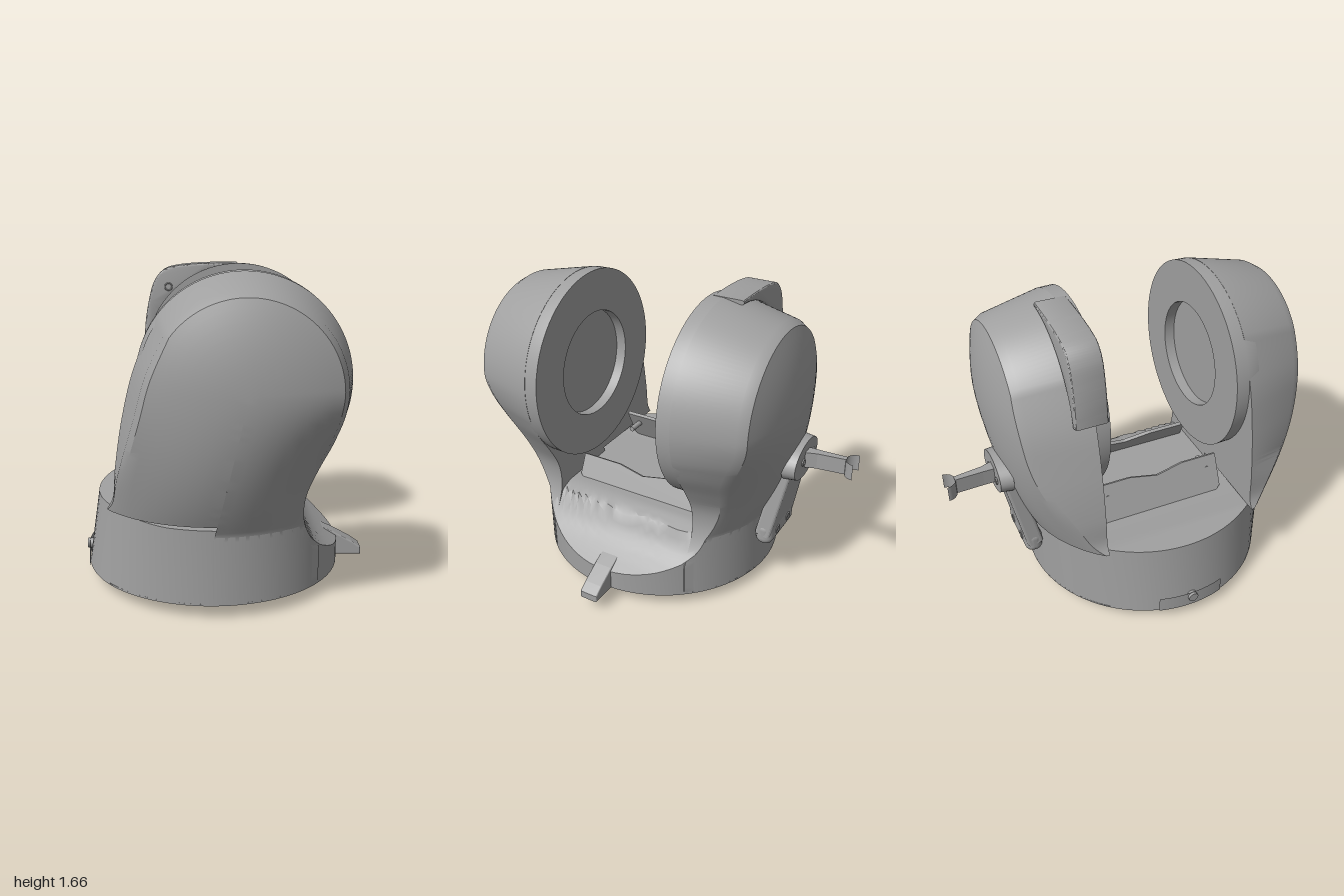
import * as THREE from 'three';
import { toCreasedNormals } from 'three/addons/utils/BufferGeometryUtils.js';
import { RoundedBoxGeometry } from 'three/addons/geometries/RoundedBoxGeometry.js';

const CX = -0.065, CZ = 0.135, R = 0.685;   // base centre and radius
const DX = 0.085, DY = 1.13, DR = 0.53;     // head disc centre and radius
const { lerp, clamp, smoothstep } = THREE.MathUtils;
const V = (x, y) => new THREE.Vector2(x, y);

export function createModel() {
  const model = new THREE.Group();
  const grey = new THREE.MeshStandardMaterial({ color: 0xa0a0a0, side: THREE.DoubleSide });
  grey.name = 'grey';

  const add = (name, geo, x = 0, y = 0, z = 0, parent = model) => {
    const m = new THREE.Mesh(geo, grey);
    m.name = name;
    m.position.set(x, y, z);
    parent.add(m);
    return m;
  };
  const extrude = (pts, depth, bevel = 0) => new THREE.ExtrudeGeometry(new THREE.Shape(pts), {
    depth, bevelEnabled: bevel > 0, bevelSize: bevel, bevelThickness: bevel, bevelOffset: -bevel, bevelSegments: 3,
  });

  // Foot disc
  add('foot', new THREE.CylinderGeometry(0.31, 0.31, 0.09, 64), CX, 0.045, CZ);

  // Round base: a lathe whose top follows a floor profile with a scoop on the right
  const floor = [[-0.8, 0.47], [-0.6, 0.485], [-0.3, 0.46], [0.3, 0.45], [0.38, 0.42], [0.42, 0.34], [0.48, 0.275], [0.55, 0.225], [0.63, 0.175]];
  const floorY = x => {
    const i = clamp(floor.findIndex(p => p[0] > x), 1, floor.length - 1);
    const [a, b] = [floor[i - 1], floor[i]];
    return lerp(a[1], b[1], clamp((x - a[0]) / (b[0] - a[0]), 0, 1));
  };
  const profile = [V(0, 0.07), V(R, 0.07), V(R, 1)];
  for (let r = 0.98; r > 0.01; r -= 0.04) profile.push(V(R * r, 1));
  profile.push(V(0, 1));
  const base = new THREE.LatheGeometry(profile, 96);
  const p = base.attributes.position;
  for (let i = 0; i < p.count; i++) {
    let x = p.getX(i);
    if (p.getY(i) > 0.5) {
      p.setY(i, floorY(x + CX));
      if (x < 0) x *= 1 - 0.09 * smoothstep(-x, 0.2, 0.6);
    }
    p.setX(i, x);
  }
  add('base', toCreasedNormals(base, 0.6), CX, 0, CZ);

  // Fork arms: outline in x/y, lofted outward in z over a domed outer surface
  const outline = new THREE.Shape();
  outline.moveTo(-0.6, 0.08);
  outline.lineTo(0.47, 0.08);
  outline.lineTo(0.47, 0.28);
  outline.splineThru([V(0.42, 0.345), V(0.385, 0.43), V(0.378, 0.52), V(0.4, 0.62), V(0.465, 0.74), V(0.54, 0.86), V(DX + DR * Math.cos(-0.3), DY + DR * Math.sin(-0.3))]);
  outline.absarc(DX, DY, DR, -0.3, 2.5, false);
  outline.splineThru([V(-0.45, 1.2), V(-0.515, 0.95), V(-0.555, 0.7), V(-0.568, 0.55), V(-0.6, 0.485)]);
  const ring = outline.getSpacedPoints(180);
  const outer = (x, y) => {
    const dy = y - DY;
    const mid = Math.max(R, 0.865 - (dy > 0 ? 0.4 : 0.36) * dy * dy);
    const round = mid * Math.sqrt(Math.max(0, 1 - ((x - CX) / R) ** 2));
    return Math.max(0.435, lerp(round, mid - 0.4 * (x - DX) ** 2, smoothstep(y, 0.45, 1.15)));
  };
  const armGeometry = side => {
    const pos = [], idx = [], n = ring.length;
    // [shrink towards the spine, edge drop, on the inner face]
    const rows = [[0, 0, 1], [1, 0, 1], [1, 0.035, 0], [0.94, 0, 0]];
    for (let f = 0.84; f >= 0; f -= 0.12) rows.push([f, 0, 0]);
    rows.forEach(([f, drop, inner]) => ring.forEach(({ x, y }) => {
      const t = smoothstep(y, 0.4, 1.1);
      const sx = lerp(-0.07, DX, clamp((y - 0.4) / 0.73, 0, 1)), sy = Math.min(y, DY);
      const k = inner ? f : f * (1 - 0.13 * t);
      const px = lerp(sx, x, k), py = lerp(sy, y, k);
      pos.push(px, py, side * (inner ? 0.43 : Math.max(0.435, outer(px, py) - drop * t)));
    }));
    for (let j = 0; j < rows.length - 1; j++) for (let i = 0; i < n - 1; i++) {
      const a = j * n + i, b = a + 1, c = b + n, d = a + n;
      if (side > 0) idx.push(a, b, c, a, c, d);
      else idx.push(a, c, b, a, d, c);
    }
    const g = new THREE.BufferGeometry();
    g.setAttribute('position', new THREE.Float32BufferAttribute(pos, 3));
    g.setIndex(idx);
    return toCreasedNormals(g, 0.5);
  };

  // Inner head disc with a round recess
  const disc = toCreasedNormals(new THREE.LatheGeometry(
    [V(DR - 0.02, 0), V(DR, 0.075), V(DR, 0.08), V(DR + 0.002, 0.145), V(0.3, 0.145), V(0.3, 0.085), V(0, 0.085)], 80), 0.5);
  for (const side of [1, -1]) {
    const name = side > 0 ? 'front' : 'back';
    add(name + 'Arm', armGeometry(side), 0, 0, CZ);
    add(name + 'HeadDisc', disc, DX, DY, CZ + side * 0.5).rotation.x = -side * Math.PI / 2;
  }

  // Leaning cross plates between the arms, with a shallow notch on top
  const crossPlate = (name, x, y, width, height, lean) => {
    const h = width / 2;
    const g = extrude([V(-h + 0.04, 0), V(h - 0.04, 0), V(h, 0.04), V(h, height), V(0.16, height), V(0, height - 0.03), V(-0.16, height), V(-h, height), V(-h, 0.04)], 0.02);
    g.rotateY(Math.PI / 2);
    g.rotateZ(lean);
    add(name, g, x, y, CZ);
  };
  crossPlate('leftCrossPlate', -0.36, 0.45, 0.74, 0.23, -0.45);
  crossPlate('rightCrossPlate', 0.23, 0.42, 0.8, 0.16, 0.45);
  for (const z of [-0.17, 0.44]) {
    const pin = add('crossPlatePin', new THREE.CylinderGeometry(0.016, 0.016, 0.11, 16), -0.235, 0.585, z);
    pin.rotation.z = Math.PI / 2;
  }

  // Pointer tab on the right of the base
  add('pointerTab', extrude([V(0.5, 0.07), V(0.76, 0.07), V(0.76, 0.11), V(0.71, 0.145), V(0.61, 0.2), V(0.5, 0.25)], 0.09, 0.008), 0, 0, 0.09);

  // Scale plate and knob on the left of the base
  add('scalePlate', new THREE.CylinderGeometry(R + 0.003, R + 0.006, 0.09, 24, 1, true, 1.5 * Math.PI - 0.28, 0.56), CX, 0.115, CZ);
  add('scaleKnob', new THREE.CylinderGeometry(0.028, 0.028, 0.03, 24), -0.752, 0.13, CZ).rotation.z = Math.PI / 2;

  // Fairing over the upper left of the back head
  const cover = new THREE.Shape();
  cover.moveTo(0.08, 1.64);
  cover.lineTo(0.08, 1.663);
  cover.splineThru([V(-0.1, 1.662), V(-0.25, 1.65), V(-0.34, 1.625), V(-0.395, 1.56), V(-0.425, 1.46), V(-0.445, 1.35), V(-0.455, 1.24)]);
  cover.lineTo(-0.43, 1.23);
  cover.absarc(DX, DY, DR - 0.02, 2.95, 1.6, true);
  add('headCover', toCreasedNormals(new THREE.ExtrudeGeometry(cover, {
    depth: 0.15, bevelSize: 0.012, bevelThickness: 0.012, bevelOffset: -0.012, bevelSegments: 3, curveSegments: 24,
  }), 0.5), 0, 0, -0.395);
  add('coverRing', new THREE.TorusGeometry(0.02, 0.004, 8, 24), -0.313, 1.53, -0.233);

  // Holder on the back arm: sloping panel, end pads, screws and clip
  const holder = new THREE.Group();
  holder.name = 'backHolder';
  model.add(holder);
  const panel = add('holderPanel', extrude([V(-0.17, -0.25), V(0.17, -0.25), V(0.12, 0.27), V(-0.12, 0.27)], 0.06, 0.015), -0.06, 0.58, -0.66, holder);
  panel.rotation.x = -0.2;
  const topPad = add('topPad', new THREE.CylinderGeometry(0.16, 0.17, 0.07, 40), -0.06, 0.8, -0.705, holder);
  topPad.rotation.set(-Math.PI / 2, 0.12, 0);
  topPad.scale.z = 0.62;
  add('lowerPad', new RoundedBoxGeometry(0.34, 0.14, 0.1, 4, 0.045), -0.06, 0.345, -0.585, holder);
  for (const x of [-0.13, 0.01]) {
    add('lowerScrew', new THREE.TorusGeometry(0.02, 0.006, 8, 20), x, 0.345, -0.634, holder);
    add('topScrew', new THREE.TorusGeometry(0.016, 0.005, 8, 20), x - 0.02, 0.8, -0.745, holder);
  }
  const stalk = extrude([V(-0.1, -0.72), V(-0.03, -0.72), V(-0.055, -0.8), V(-0.075, -0.95), V(-0.105, -0.95), V(-0.1, -0.8)], 0.09);
  stalk.rotateX(Math.PI / 2);
  stalk.scale(1, 1, -1);
  stalk.rotateZ(Math.PI);
  stalk.rotateY(Math.PI);
  stalk.computeBoundingBox();
  const c = stalk.boundingBox.getCenter(new THREE.Vector3());
  stalk.translate(-c.x, -c.y, -c.z);
  add('clipStalk', stalk, -0.07, 0.8, -0.835, holder);
  add('clipFork', new THREE.CylinderGeometry(0.055, 0.055, 0.09, 24, 1, true, -Math.PI / 2, Math.PI), -0.095, 0.8, -1, holder);
  return model;
}
